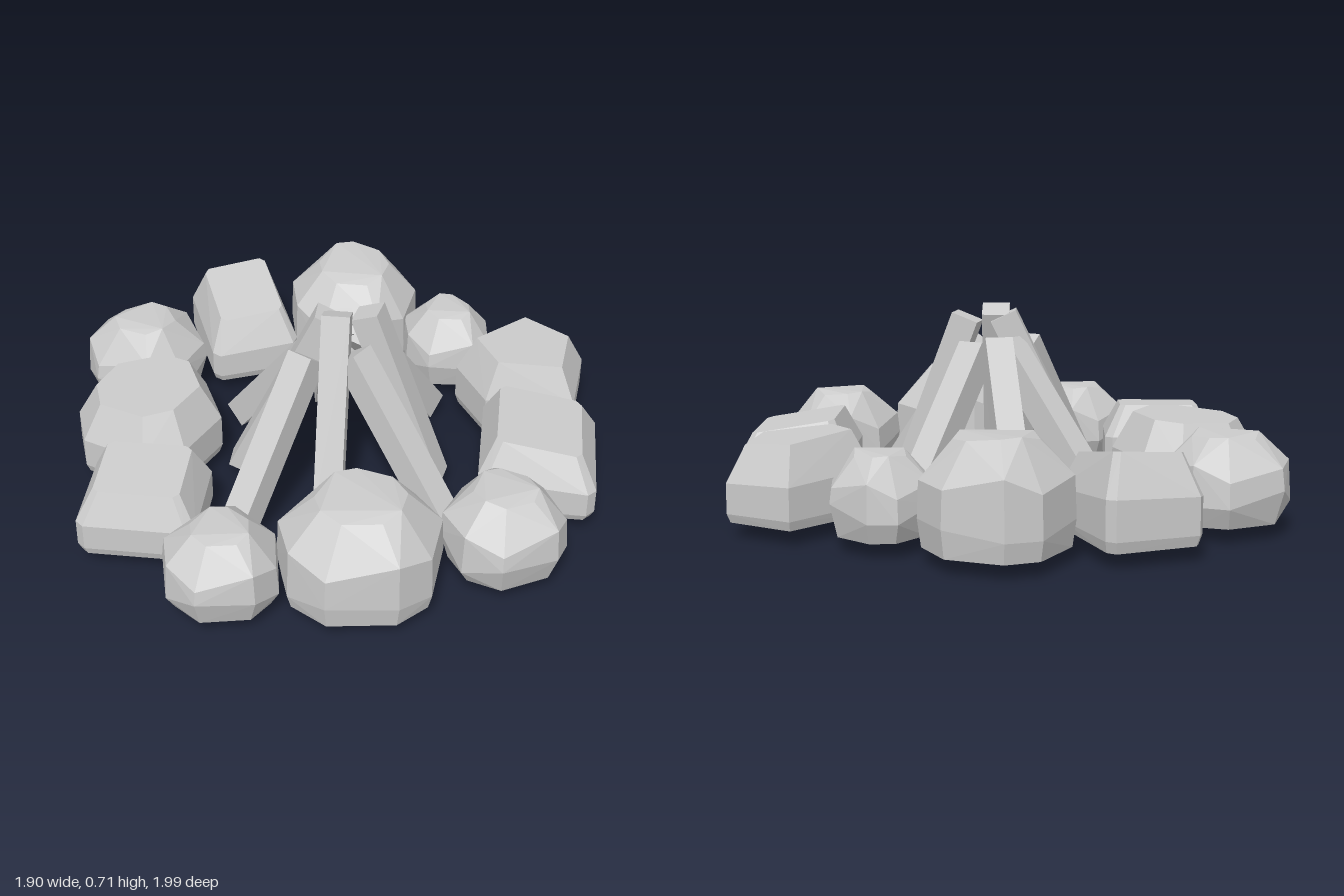
import * as THREE from 'three';
import { ConvexGeometry } from 'three/addons/geometries/ConvexGeometry.js';

const grey = new THREE.MeshStandardMaterial({ color: 0xcccccc, flatShading: true });
const GROUND = 0.04;

// Unit plan of a rounded stone: a polygon with uneven spacing
const polygon = (sides, spread) => Array.from({ length: sides }, (_, i) => {
  const a = (i + 0.15 * Math.sin(i * 2.4)) * 2 * Math.PI / sides;
  return [spread * Math.cos(a), spread * Math.sin(a)];
});

// Unit plan of a squared stone: a square with cut corners
const cutSquare = (cut) => [[1, 1], [-1, 1], [-1, -1], [1, -1]].flatMap(([x, z]) =>
  [[x * (1 - cut), z], [x, z * (1 - cut)]]);

// Each kind has a plan and stacked rings: scale, height fraction, wobble
const ROUND = {
  plan: polygon(8, 1.04),
  rings: [[0.85, 0, 0], [1, 0.3, 0.12], [0.96, 0.64, 0.1], [0.5, 1, 0.03]],
};
const BOULDER = {
  plan: polygon(9, 1.03),
  rings: [[0.95, 0, 0], [1, 0.2, 0.06], [0.98, 0.62, 0.08], [0.55, 0.98, 0.03]],
};
const BLOCK_RINGS = [[0.95, 0, 0], [1, 0.12, 0], [1, 0.53, 0], [0.72, 1, 0]];
const BLOCK = { plan: cutSquare(0.14), rings: BLOCK_RINGS };
const WEDGE = { plan: polygon(5, 1.04), rings: BLOCK_RINGS };
const SLAB = { plan: polygon(8, 1.03), rings: BLOCK_RINGS };

// Stones: centre [x, z], half sizes [x, z], turn, top height, slope of the top [x, z]
const STONES = [
  ['backStone', BOULDER, [0.005, -0.74], [0.24, 0.26], 0.2, 0.39, [0, -0.09]],
  ['backRightSmallStone', ROUND, [0.38, -0.6], [0.165, 0.185], 0.5, 0.3, [0, 0]],
  ['backRightStone', WEDGE, [0.68, -0.365], [0.24, 0.24], -0.75, 0.31, [-0.1, 0]],
  ['rightStone', BLOCK, [0.74, 0.08], [0.2, 0.23], 0, 0.285, [-0.17, 0]],
  ['frontRightStone', ROUND, [0.635, 0.515], [0.2, 0.205], 0.9, 0.32, [0, 0]],
  ['frontStone', BOULDER, [0.185, 0.695], [0.265, 0.245], 0.3, 0.39, [0, -0.05]],
  ['frontLeftSmallStone', ROUND, [-0.25, 0.795], [0.19, 0.195], 0.6, 0.3, [0, 0]],
  ['frontLeftStone', BLOCK, [-0.56, 0.505], [0.2, 0.175], 0, 0.28, [0, -0.08]],
  ['leftStone', SLAB, [-0.635, 0.065], [0.25, 0.265], 0, 0.31, [0.06, 0]],
  ['backLeftRoundStone', ROUND, [-0.735, -0.35], [0.215, 0.21], 0.1, 0.32, [0, 0]],
  ['backLeftStone', BLOCK, [-0.41, -0.62], [0.165, 0.21], 0.4, 0.31, [0, -0.2]],
];

// Logs: centre of the foot [x, z] and centre of the upper end [x, y, z]
const LOGS = [
  ['frontLog', [0.038, 0.358], [0.038, 0.68, 0.105]],
  ['rightLog', [0.375, 0.09], [0.135, 0.66, 0.045]],
  ['leftLog', [-0.3, 0.09], [0.01, 0.66, 0.09]],
  ['backRightLog', [0.325, -0.365], [0.1, 0.55, -0.01]],
  ['frontRightLog', [0.435, 0.345], [0.095, 0.55, 0.145]],
  ['frontLeftLog', [-0.265, 0.53], [-0.055, 0.55, 0.18]],
  ['backLeftLog', [-0.35, -0.23], [0, 0.56, 0.04]],
  ['backLog', [-0.06, -0.4], [0.03, 0.57, -0.02]],
];

// Faceted stone: convex hull over stacked copies of its plan
function makeStone([name, kind, [cx, cz], [rx, rz], turn, top, [slopeX, slopeZ]]) {
  const c = Math.cos(turn), s = Math.sin(turn);
  const points = kind.rings.flatMap(([scale, level, wobble], r) => kind.plan.map(([u, v], i) => {
    const x = u * rx * scale, z = v * rz * scale;
    const dx = x * c + z * s, dz = z * c - x * s;
    const lift = level + wobble * Math.sin(i * 2.4 + r * 1.7);
    const y = GROUND + lift * (top - GROUND) + level * (dx * slopeX + dz * slopeZ);
    return new THREE.Vector3(cx + dx, y, cz + dz);
  }));
  const mesh = new THREE.Mesh(new ConvexGeometry(points), grey);
  mesh.name = name;
  return mesh;
}

// Square log leaning from its foot to its upper end
function makeLog([name, [fx, fz], end]) {
  const foot = new THREE.Vector3(fx, 0.02, fz), tip = new THREE.Vector3(...end);
  const mesh = new THREE.Mesh(new THREE.BoxGeometry(0.096, 0.096, foot.distanceTo(tip)), grey);
  mesh.position.lerpVectors(foot, tip, 0.5);
  mesh.lookAt(tip);
  mesh.name = name;
  return mesh;
}

export function createModel() {
  const model = new THREE.Group();
  model.name = 'campfire';
  const stoneRing = new THREE.Group();
  stoneRing.name = 'stoneRing';
  stoneRing.add(...STONES.map(makeStone));
  const logPile = new THREE.Group();
  logPile.name = 'logPile';
  logPile.add(...LOGS.map(makeLog));
  model.add(stoneRing, logPile);
  return model;
}
